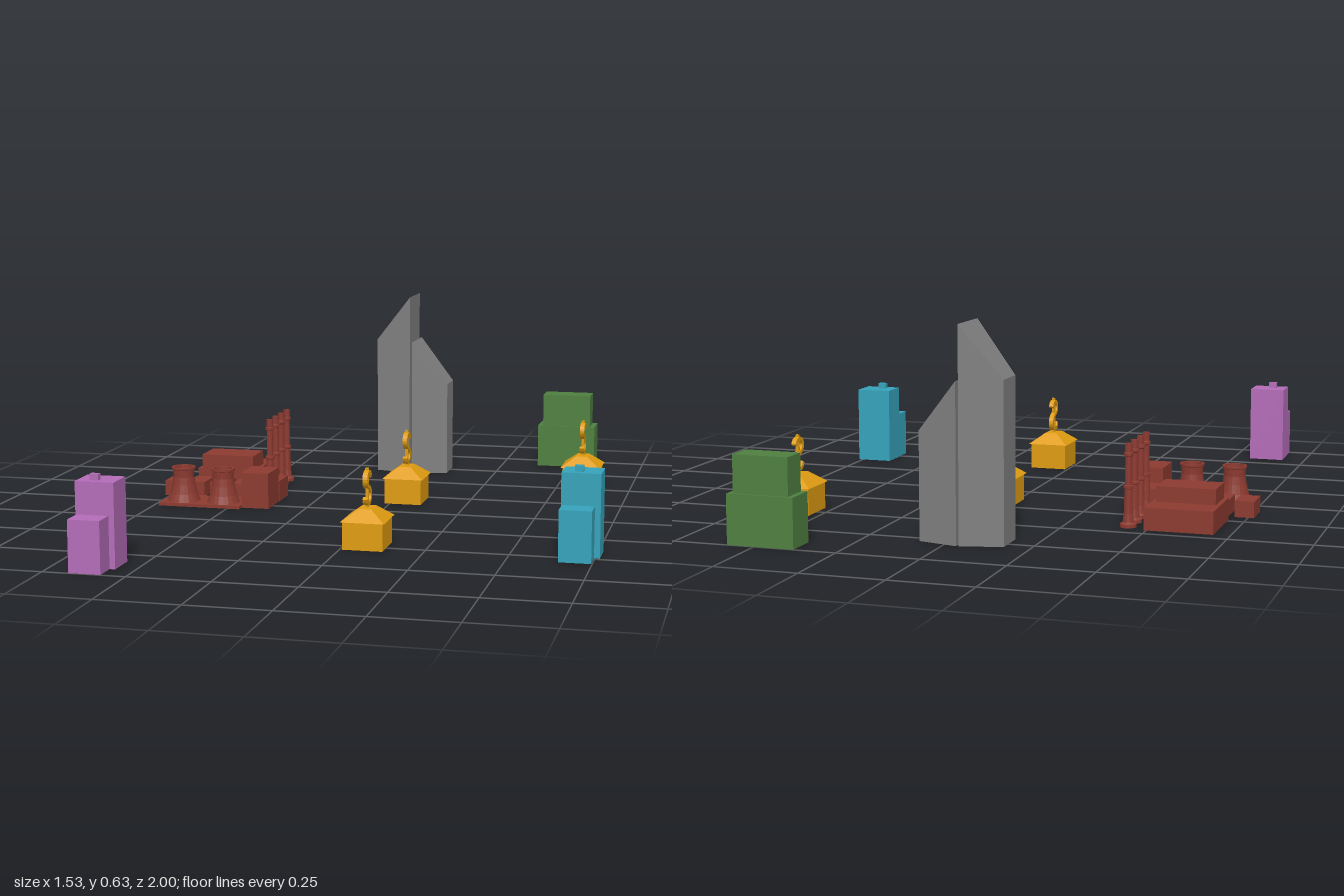
import * as THREE from 'three';

const mat = (color, side = THREE.FrontSide) =>
  new THREE.MeshStandardMaterial({ color, flatShading: true, side });
const RED = mat(0x8c3a30), RED_OPEN = mat(0x8c3a30, THREE.DoubleSide);
const GOLD = mat(0xe09c10), GREY = mat(0x808080), GREEN = mat(0x4f8040);
const PURPLE = mat(0xb46cb8), TEAL = mat(0x36a3bb);

function add(parent, name, geometry, material, x = 0, y = 0, z = 0) {
  const mesh = new THREE.Mesh(geometry, material);
  mesh.name = name;
  mesh.position.set(x, y, z);
  parent.add(mesh);
  return mesh;
}

// Box given by its limits
function block(parent, name, material, x0, x1, y0, y1, z0, z1) {
  return add(parent, name, new THREE.BoxGeometry(x1 - x0, y1 - y0, z1 - z0), material,
    (x0 + x1) / 2, (y0 + y1) / 2, (z0 + z1) / 2);
}

// Unit box (base at y = 0) with its corners moved by a rule
function shapedBox(rule) {
  const g = new THREE.BoxGeometry(1, 1, 1).translate(0, 0.5, 0).toNonIndexed();
  const p = g.attributes.position;
  for (let i = 0; i < p.count; i++) p.setXYZ(i, ...rule(p.getX(i), p.getY(i), p.getZ(i)));
  g.computeVertexNormals();
  return g;
}

function group(parent, name, x = 0, z = 0) {
  const g = new THREE.Group();
  g.name = name;
  g.position.set(x, 0, z);
  parent.add(g);
  return g;
}

// Tall block with a lower annex in front and a small roof vent
function apartment(parent, name, material, x, z) {
  const g = group(parent, name, x, z);
  block(g, 'tallBlock', material, -0.058, 0.058, 0, 0.25, -0.048, 0.048);
  block(g, 'frontAnnex', material, -0.055, 0.041, 0, 0.154, 0.048, 0.118);
  block(g, 'roofVent', material, -0.022, 0.004, 0.25, 0.268, 0.007, 0.026);
}

// Flat ribbon following a curve, extruded to a slab and turned to face +x
function curvedRibbon(points, width, depth) {
  const curve = new THREE.CatmullRomCurve3(points.map(([x, y]) => new THREE.Vector3(x, y, 0)));
  const left = [], right = [], n = 36;
  for (let i = 0; i <= n; i++) {
    const p = curve.getPointAt(i / n), t = curve.getTangentAt(i / n);
    left.push(new THREE.Vector2(p.x - t.y * width / 2, p.y + t.x * width / 2));
    right.unshift(new THREE.Vector2(p.x + t.y * width / 2, p.y - t.x * width / 2));
  }
  return new THREE.ExtrudeGeometry(new THREE.Shape([...left, ...right]), { depth, bevelEnabled: false })
    .translate(0, 0, -depth / 2).rotateY(Math.PI / 2);
}

const ornamentCurve = curvedRibbon([
  [0.025, 0.030], [0.017, 0.042], [0, 0.047], [-0.018, 0.041], [-0.025, 0.026], [-0.018, 0.011],
  [0, 0.002], [0.019, -0.009], [0.026, -0.024], [0.018, -0.041], [0, -0.047], [-0.018, -0.042], [-0.026, -0.028]
], 0.012, 0.015);

// Small hipped-roof house topped by an upright ornament
const roofGeometry = shapedBox((x, y, z) =>
  [x * (y > 0.5 ? 0.04 : 0.134), y * 0.035, z * (y > 0.5 ? 0.064 : 0.142)]);
function bank(parent, x, z) {
  const g = group(parent, 'goldHouse', x, z);
  block(g, 'walls', GOLD, -0.061, 0.061, 0, 0.085, -0.063, 0.063);
  add(g, 'hippedRoof', roofGeometry, GOLD, 0, 0.084, 0);
  add(g, 'ornamentCurve', ornamentCurve, GOLD, 0, 0.178, 0);
  block(g, 'ornamentBar', GOLD, -0.005, 0.005, 0.115, 0.238, -0.004, 0.004);
}

// Half of the twin tower: wide inner face, narrow outer face, sloping top
function towerHalf(parent, name, inner, outer, innerTop, outerTop) {
  const x0 = Math.min(inner, outer), x1 = Math.max(inner, outer);
  add(parent, name, shapedBox((x, y, z) => {
    const px = x < 0 ? x0 : x1, isInner = px === inner;
    return [px, y * (isInner ? innerTop : outerTop), z * (isInner ? 0.168 : 0.106)];
  }), GREY);
}

const lathe = (profile, sides) =>
  new THREE.LatheGeometry(profile.map(([r, y]) => new THREE.Vector2(r, y)), sides);

function powerPlant(parent) {
  const g = group(parent, 'powerPlant');
  // Main hall
  block(g, 'mainHall', RED, -0.70, -0.492, 0, 0.068, -0.455, -0.235);
  block(g, 'upperHall', RED, -0.686, -0.505, 0.068, 0.115, -0.358, -0.238);
  // Row of small sheds
  for (let i = 0; i < 4; i++) {
    const x = -0.768 + i * 0.0785;
    block(g, 'shed', RED, x, x + 0.06, 0, 0.05, -0.188, -0.086);
  }
  // Side hall in two heights
  block(g, 'sideHallHigh', RED, -0.457, -0.366, 0, 0.116, -0.07, 0.052);
  block(g, 'sideHallLow', RED, -0.46, -0.364, 0, 0.068, -0.173, -0.07);
  // Cooling towers on a thin slab
  block(g, 'coolingSlab', RED, -0.733, -0.457, 0, 0.01, -0.066, 0.079);
  const cooling = lathe([[0.055, 0.008], [0.045, 0.035], [0.038, 0.065], [0.034, 0.09], [0.035, 0.113],
    [0.039, 0.115], [0.039, 0.122], [0.031, 0.122], [0.030, 0.09], [0.034, 0.06], [0, 0.06]], 20);
  for (const x of [-0.666, -0.53]) add(g, 'coolingTower', cooling, RED_OPEN, x, 0, 0.018);
  // Chimneys with foot, collars and hollow top
  const chimney = lathe([[0, 0], [0.025, 0], [0.025, 0.01], [0.017, 0.016], [0.014, 0.04], [0.012, 0.115],
    [0.015, 0.117], [0.015, 0.125], [0.011, 0.127], [0.010, 0.212], [0.014, 0.215], [0.014, 0.223],
    [0.011, 0.225], [0.011, 0.251], [0.007, 0.251], [0.007, 0.225], [0, 0.225]], 12);
  for (let i = 0; i < 4; i++) add(g, 'chimney', chimney, RED_OPEN, -0.437, 0, -0.421 + i * 0.07);
}

export function createModel() {
  const model = new THREE.Group();
  model.name = 'cityDistrict';

  powerPlant(model);
  apartment(model, 'purpleApartment', PURPLE, -0.616, 0.88);
  apartment(model, 'tealApartment', TEAL, 0.706, 0.442);
  for (const [x, z] of [[0.59, -0.5], [0.044, -0.182], [0.07, 0.487]]) bank(model, x, z);

  // Green office
  const office = group(model, 'greenOffice');
  block(office, 'lowerStorey', GREEN, 0.378, 0.583, 0, 0.148, -1, -0.898);
  block(office, 'upperStorey', GREEN, 0.395, 0.565, 0.148, 0.26, -0.992, -0.906);

  // Twin skyscraper
  const tower = group(model, 'twinTower', 0, -0.735);
  towerHalf(tower, 'tallHalf', -0.048, -0.172, 0.63, 0.475);
  towerHalf(tower, 'shortHalf', -0.04, 0.082, 0.47, 0.32);

  return model;
}
